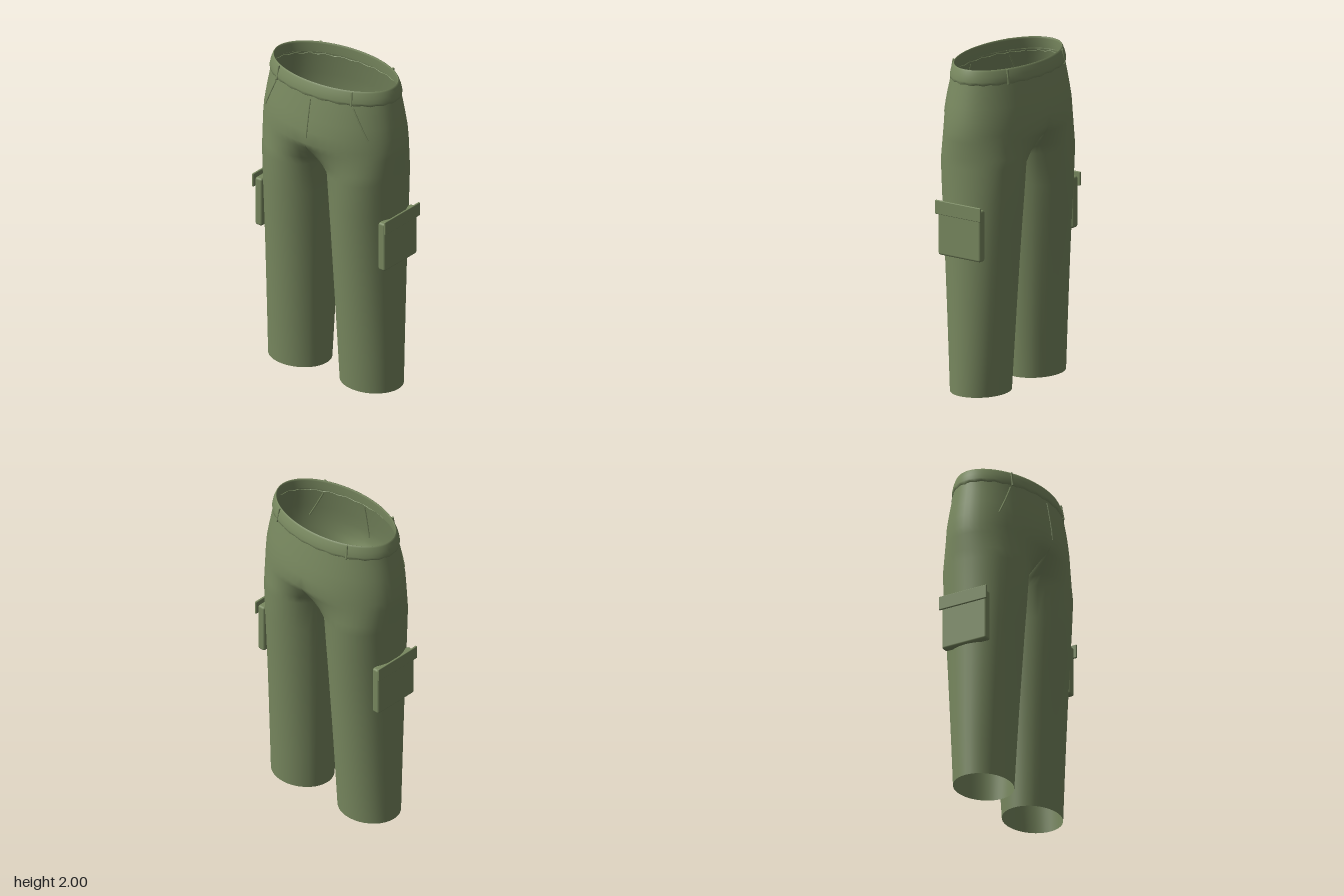
import * as THREE from 'three';
import { mergeGeometries, mergeVertices } from 'three/addons/utils/BufferGeometryUtils.js';
import { RoundedBoxGeometry } from 'three/addons/geometries/RoundedBoxGeometry.js';

const OUTER = 28, INNER = 12, COLS = OUTER + INNER;
const CROTCH = { y: 1.61, rx: 0.494, rz: 0.303, sag: 0.1 };

// hip ellipses: y, half width, half depth
const HIPS = [[1.92, 0.446, 0.258], [1.85, 0.459, 0.272], [1.77, 0.474, 0.286], [1.69, 0.487, 0.299]];
// leg ellipses: y, inner x, outer x, half depth
const LEGS = [[1.4, 0.006, 0.48, 0.262], [1.2, 0.018, 0.477, 0.251], [1.0, 0.027, 0.475, 0.236],
  [0.75, 0.037, 0.473, 0.219], [0.5, 0.048, 0.472, 0.203], [0.25, 0.059, 0.471, 0.188], [0, 0.07, 0.47, 0.174]];

// half a hip ring; the inner columns run under the crotch from back to front
function hipPoint(k, y, rx, rz, sag = 0) {
  if (k <= OUTER) {
    const a = Math.PI * k / OUTER;
    return new THREE.Vector3(rx * Math.sin(a), y, rz * Math.cos(a));
  }
  const a = Math.PI * (k - OUTER) / INNER;
  return new THREE.Vector3(0, y - sag * Math.sin(a), -rz * Math.cos(a));
}

// full leg ring; the inner columns cover the inseam
function legPoint(k, [y, x0, x1, rz]) {
  const half = THREE.MathUtils.degToRad(50);
  const a = k <= OUTER
    ? -half + (Math.PI + 2 * half) * k / OUTER
    : Math.PI + half + (Math.PI - 2 * half) * (k - OUTER) / INNER;
  return new THREE.Vector3((x0 + x1) / 2 + (x1 - x0) / 2 * Math.sin(a), y, rz * Math.cos(a));
}

function gridGeometry(rows, lastColumn) {
  const cols = rows[0].length, index = [];
  for (let i = 0; i < rows.length - 1; i++) {
    for (let k = 0; k < lastColumn(i); k++) {
      const n = (k + 1) % cols;
      const a = i * cols + k, b = i * cols + n, c = a + cols, d = b + cols;
      index.push(c, d, b, c, b, a);
    }
  }
  const g = new THREE.BufferGeometry().setFromPoints(rows.flat());
  g.setIndex(index);
  return g;
}

function mirrored(g) {
  const m = g.clone().scale(-1, 1, 1), ix = m.index.array;
  for (let i = 0; i < ix.length; i += 3) [ix[i], ix[i + 1]] = [ix[i + 1], ix[i]];
  return m;
}

// hips and legs as one continuous cloth shell
function trouserGeometry() {
  const ring = f => Array.from({ length: COLS }, (_, k) => f(k));
  const crotch = k => hipPoint(k, CROTCH.y, CROTCH.rx, CROTCH.rz, CROTCH.sag);
  const rows = HIPS.map(h => ring(k => hipPoint(k, ...h)));
  rows.push(ring(crotch));
  for (const t of [0.22, 0.45, 0.72]) rows.push(ring(k => crotch(k).lerp(legPoint(k, LEGS[0]), t)));
  for (const l of LEGS) rows.push(ring(k => legPoint(k, l)));
  const half = gridGeometry(rows, i => (i < HIPS.length ? OUTER : COLS));
  const g = mergeVertices(mergeGeometries([half, mirrored(half)]), 1e-4);
  g.computeVertexNormals();
  return g;
}

// rolled waistband with a slightly puckered lower edge
function waistbandGeometry() {
  const profile = [[1.93, 0.43, 0.24], [1.988, 0.425, 0.236], [1.998, 0.428, 0.238], [2.0, 0.431, 0.242],
    [1.99, 0.437, 0.248], [1.96, 0.448, 0.259], [1.93, 0.454, 0.266], [1.915, 0.453, 0.265], [1.908, 0.445, 0.257]];
  const n = 96;
  const rows = profile.map(([y, rx, rz], i) => Array.from({ length: n }, (_, k) => {
    const a = 2 * Math.PI * k / n;
    const pucker = i > 6 ? 0.004 * Math.sin(a * 24) : 0;
    return new THREE.Vector3(rx * Math.sin(a), y + pucker, rz * Math.cos(a));
  })).reverse();
  rows.reverse();
  const g = gridGeometry(rows.reverse(), () => n);
  // rows run from the lower outer edge upward, so turn the faces round
  const ix = g.index.array;
  for (let i = 0; i < ix.length; i += 3) [ix[i], ix[i + 1]] = [ix[i + 1], ix[i]];
  g.computeVertexNormals();
  return g;
}

// depth of the hip surface at a given x and y
function hipDepth(x, y) {
  const rings = [...HIPS, [CROTCH.y, CROTCH.rx, CROTCH.rz]];
  let i = 0;
  while (i < rings.length - 2 && rings[i + 1][0] > y) i++;
  const [a, b] = [rings[i], rings[i + 1]], t = (a[0] - y) / (a[0] - b[0]);
  const rx = a[1] + (b[1] - a[1]) * t, rz = a[2] + (b[2] - a[2]) * t;
  return rz * Math.sqrt(1 - (x / rx) ** 2);
}

// raised seam laid on the front of the hips
function seamGeometry(x0, y0, x1, y1) {
  const pts = Array.from({ length: 7 }, (_, i) => {
    const x = x0 + (x1 - x0) * i / 6, y = y0 + (y1 - y0) * i / 6;
    return new THREE.Vector3(x, y, hipDepth(x, y));
  });
  return new THREE.TubeGeometry(new THREE.CatmullRomCurve3(pts), 16, 0.005, 6);
}

export function createModel() {
  const model = new THREE.Group();
  model.name = 'cargoTrousers';
  const cloth = new THREE.MeshStandardMaterial({ color: 0x78885f, side: THREE.DoubleSide });
  cloth.name = 'oliveCloth';
  const add = (name, geometry, x = 0, y = 0, z = 0) => {
    const m = new THREE.Mesh(geometry, cloth);
    m.name = name;
    m.position.set(x, y, z);
    model.add(m);
    return m;
  };

  add('hipsAndLegs', trouserGeometry());
  add('waistband', waistbandGeometry());
  add('flySeam', seamGeometry(0.015, 1.895, 0.015, 1.65));

  for (const s of [1, -1]) {
    const side = s > 0 ? 'left' : 'right';
    add(side + 'PocketSeam', seamGeometry(s * 0.29, 1.895, s * 0.385, 1.7));

    // cargo pocket and its flap
    add(side + 'CargoPocket', new RoundedBoxGeometry(0.052, 0.315, 0.31, 3, 0.014), s * 0.464, 1.007, 0);
    add(side + 'CargoFlap', new RoundedBoxGeometry(0.013, 0.085, 0.332, 2, 0.004), s * 0.4975, 1.145, 0);

    // belt loops, front and back
    for (const f of [1, -1]) {
      const loop = add(side + (f > 0 ? 'Front' : 'Back') + 'BeltLoop',
        new RoundedBoxGeometry(0.013, 0.094, 0.012, 2, 0.004), s * 0.277, 1.952, f * 0.204);
      loop.rotation.order = 'YXZ';
      loop.rotation.y = Math.atan2(s * 0.277 / 0.2, f * 0.204 / 0.068);
      loop.rotation.x = -0.17;
    }
  }
  return model;
}
